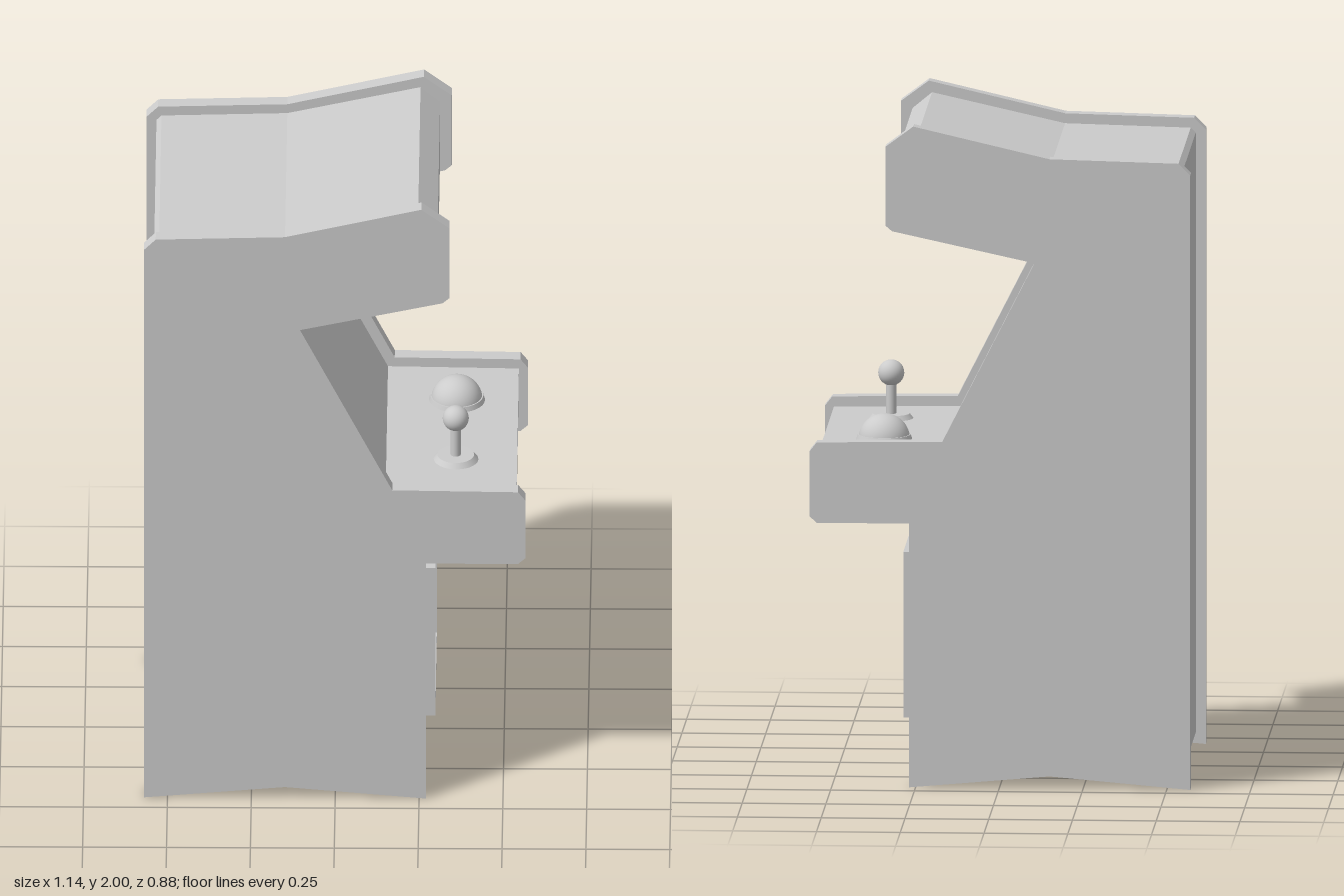
import * as THREE from 'three';

const grey = new THREE.MeshStandardMaterial({ color: 0xcccccc });

// Outline of a side panel in x (depth) and y (height); the cabinet opens towards +x
const PANEL = [
  [-0.57, 0.003], [-0.15, 0.04], [0.27, 0.003], [0.27, 0.8], [0.545, 0.8], [0.567, 0.82],
  [0.567, 1.015], [0.545, 1.043], [0.17, 1.048], [-0.105, 1.59], [0.32, 1.683], [0.34, 1.7],
  [0.34, 1.938], [0.257, 2], [-0.15, 1.905], [-0.535, 1.895], [-0.57, 1.86],
];

// Outline of the body between the panels, set in from their edges
const BODY = [
  [-0.54, 0.037], [-0.15, 0.071], [0.24, 0.037], [0.24, 0.825], [0.538, 0.825],
  [0.54, 1.012], [0.15, 1.018], [-0.15, 1.606], [0.305, 1.715],
  [0.305, 1.917], [0.247, 1.965], [-0.15, 1.875], [-0.525, 1.865], [-0.54, 1.85],
];

function slab(name, outline, z0, z1) {
  const shape = new THREE.Shape(outline.map(([x, y]) => new THREE.Vector2(x, y)));
  const geometry = new THREE.ExtrudeGeometry(shape, { depth: z1 - z0, bevelEnabled: false });
  geometry.translate(0, 0, z0);
  return part(name, geometry);
}

function part(name, geometry, x = 0, y = 0, z = 0) {
  const mesh = new THREE.Mesh(geometry, grey);
  mesh.name = name;
  mesh.position.set(x, y, z);
  return mesh;
}

function rectangle(Type, w, h) {
  return new Type([[-w, -h], [w, -h], [w, h], [-w, h]].map(([x, y]) => new THREE.Vector2(x, y)));
}

// Low disc with a sloping rim
function disc(name, rBottom, rTop, height, x, y, z) {
  return part(name, new THREE.CylinderGeometry(rTop, rBottom, height, 40), x, y + height / 2, z);
}

export function createModel() {
  const model = new THREE.Group();
  model.name = 'arcadeCabinet';

  // Cabinet
  model.add(slab('body', BODY, -0.392, 0.392));
  model.add(slab('leftSidePanel', PANEL, 0.392, 0.438));
  model.add(slab('rightSidePanel', PANEL, -0.438, -0.392));

  // Raised frame around the service door
  const frame = rectangle(THREE.Shape, 0.25, 0.25);
  frame.holes.push(rectangle(THREE.Path, 0.228, 0.228));
  const frameGeometry = new THREE.ExtrudeGeometry(frame, { depth: 0.06, bevelEnabled: false });
  frameGeometry.rotateY(Math.PI / 2);
  model.add(part('doorFrame', frameGeometry, 0.237, 0.433, 0));

  // Joystick
  const joystick = new THREE.Group();
  joystick.name = 'joystick';
  joystick.position.set(0.357, 1.013, 0.178);
  joystick.add(
    disc('joystickBase', 0.068, 0.055, 0.017, 0, 0, 0),
    part('joystickShaft', new THREE.CylinderGeometry(0.015, 0.015, 0.12, 24), 0, 0.06, 0),
    part('joystickKnob', new THREE.SphereGeometry(0.039, 32, 20), 0, 0.14, 0),
  );
  model.add(joystick);

  // Trackball
  const trackball = new THREE.Group();
  trackball.name = 'trackball';
  trackball.position.set(0.357, 1.013, -0.193);
  trackball.add(
    disc('trackballRing', 0.084, 0.079, 0.016, 0, 0, 0),
    part('trackballBall', new THREE.SphereGeometry(0.077, 40, 24), 0, 0.001, 0),
  );
  model.add(trackball);

  return model;
}
